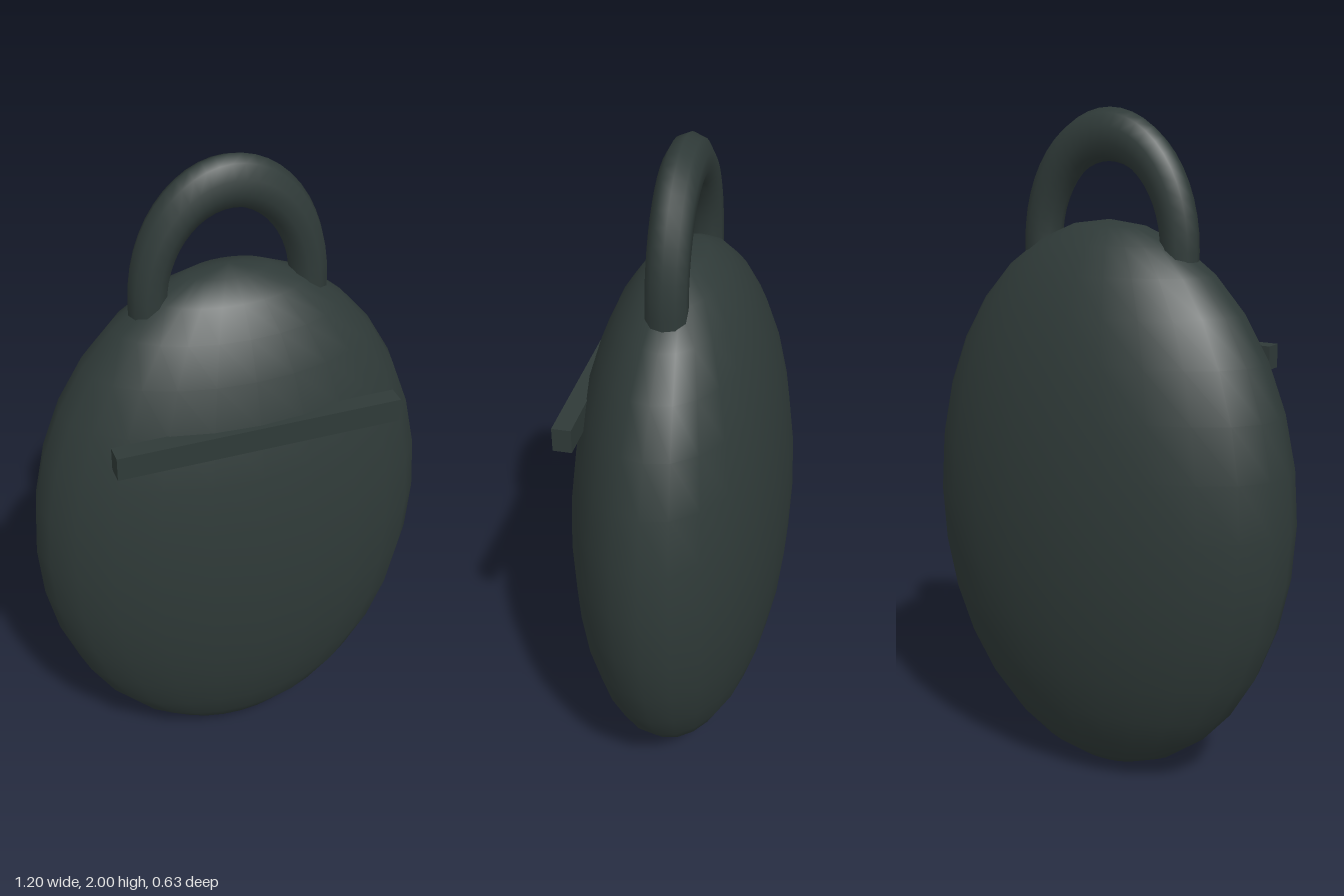
import * as THREE from 'three';

export function createModel() {
  const model = new THREE.Group();
  const charcoal = new THREE.MeshStandardMaterial({ color: 0x2f3a38 });
  charcoal.name = 'charcoal green';

  function add(name, geometry, x, y, z) {
    const mesh = new THREE.Mesh(geometry, charcoal);
    mesh.name = name;
    mesh.position.set(x, y, z);
    model.add(mesh);
    return mesh;
  }

  // Flattened egg-shaped body
  const body = new THREE.SphereGeometry(1, 24, 16);
  body.scale(0.6, 0.843, 0.315);
  add('body', body, 0, 0.846, 0);

  // Arched carrying loop, taller than a half circle
  const ringRadius = 0.231, tube = 0.055, base = 1.612, depth = 1.05;
  const loop = new THREE.TorusGeometry(ringRadius, tube, 10, 24, Math.PI);
  loop.scale(1, (2 - base) / (ringRadius + tube), depth);
  add('handleLoop', loop, 0, base, 0);

  // Short legs sinking the loop into the body
  for (const side of [-1, 1]) {
    const leg = new THREE.CylinderGeometry(tube, tube, 0.1, 10);
    leg.rotateY(side * Math.PI / 2);
    leg.scale(1, 1, depth);
    add(side > 0 ? 'leftHandleLeg' : 'rightHandleLeg', leg, side * ringRadius, base - 0.05, 0);
  }

  // Straight bar across the upper front
  add('frontBar', new THREE.BoxGeometry(0.82, 0.07, 0.054), 0, 1.29, 0.247);

  return model;
}
